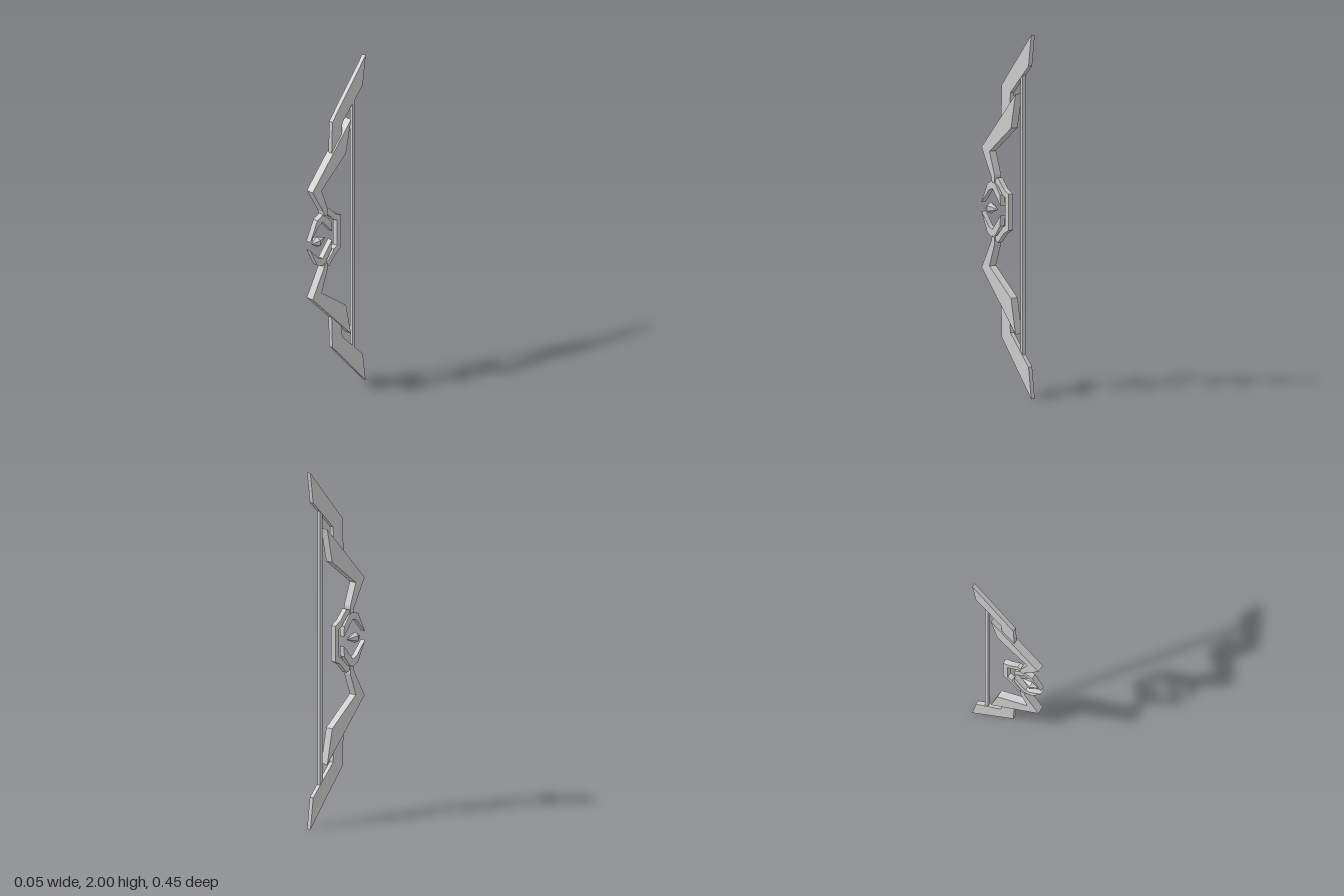
import * as THREE from 'three';

// Extrudes a side profile of [z, y] points to a plate centred on x = 0
function plate(points, width, material, name) {
  const shape = new THREE.Shape(points.map(([z, y]) => new THREE.Vector2(z, y)));
  const geometry = new THREE.ExtrudeGeometry(shape, { depth: width, bevelEnabled: false });
  geometry.translate(0, 0, -width / 2);
  geometry.rotateY(-Math.PI / 2);
  const mesh = new THREE.Mesh(geometry, material);
  mesh.name = name;
  return mesh;
}

const mirror = (points) => points.map(([z, y]) => [z, 2 - y]);

export function createModel() {
  const bow = new THREE.Group();
  bow.name = 'bow';
  const metal = new THREE.MeshStandardMaterial({ color: 0xcccccc });
  metal.name = 'paleGrey';

  // Upper profiles; the lower half repeats them mirrored about y = 1
  const parts = [
    ['LimbTip', 0.024, [
      [-0.224, 2], [0.043, 1.693], [0.049, 1.5], [-0.03, 1.58], [-0.037, 1.66], [-0.2, 1.826],
    ]],
    ['Limb', 0.044, [
      [-0.096, 1.66], [0.212, 1.33], [0.122, 1.172], [0.118, 1.148], [0.094, 1.15],
      [0.094, 1.19], [0.14, 1.315], [-0.055, 1.467],
    ]],
    ['Claw', 0.03, [
      [0.223, 1.025], [0.167, 1.137], [0.12, 1.157], [0.095, 1.138], [0.053, 1.085],
      [0.05, 1.027], [0.124, 1.112], [0.155, 1.1],
    ]],
  ];
  for (const [name, width, points] of parts) {
    bow.add(plate(points, width, metal, 'upper' + name));
    bow.add(plate(mirror(points), width, metal, 'lower' + name));
  }

  // Angular grip bracket behind the claws
  const outer = [[0.115, 1.15], [0.1, 1.168], [0.072, 1.178], [0.02, 1.122], [-0.022, 1.1]];
  const inner = [[0.008, 1.078], [0.036, 1.09], [0.04, 1.1], [0.08, 1.14]];
  const ring = [...outer, ...mirror(outer).reverse(), ...mirror(inner).reverse(), ...inner];
  bow.add(plate(ring, 0.03, metal, 'grip'));

  // Bowstring with slanted ends
  const string = [[-0.122, 1.76], [-0.143, 1.78]];
  bow.add(plate([...string, ...mirror(string).reverse()], 0.018, metal, 'bowstring'));

  // Floating six-sided gem: a pointed spindle along z
  const spindle = [[0, 0.088], [0.031, 0.157], [0, 0.2]].map(([r, z]) => new THREE.Vector2(r, z));
  const gemGeometry = new THREE.LatheGeometry(spindle, 6).toNonIndexed();
  gemGeometry.rotateX(Math.PI / 2);
  gemGeometry.computeVertexNormals();
  const gem = new THREE.Mesh(gemGeometry, metal);
  gem.position.y = 1;
  gem.name = 'gem';
  bow.add(gem);

  return bow;
}
